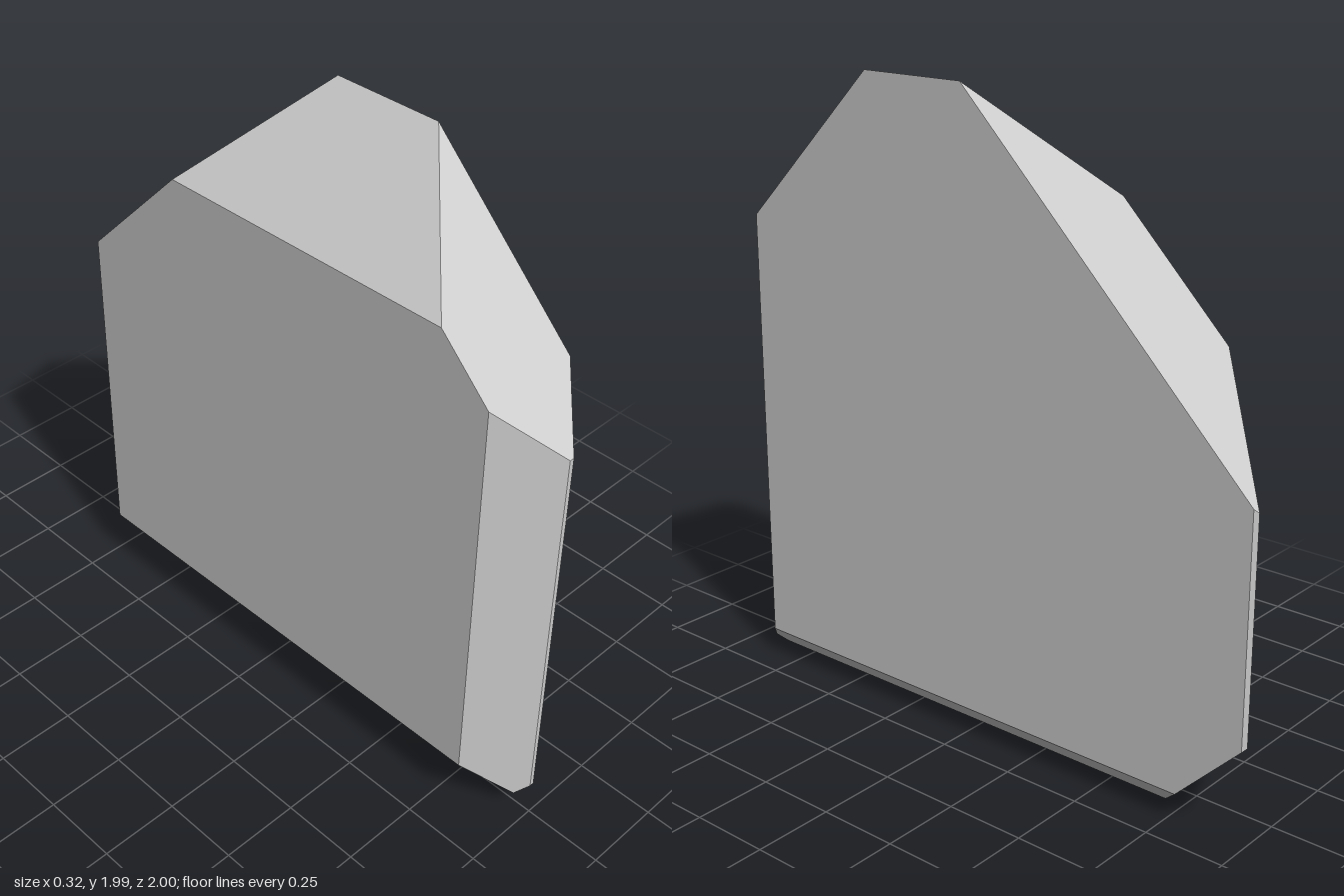
import * as THREE from 'three';
import { ConvexGeometry } from 'three/addons/geometries/ConvexGeometry.js';

// Cutting planes of the slab: a*x + b*y + c*z <= d
const CUTS = [
  [1, 0, 0, 0.161], [-1, 0, 0, 0.161],       // broad sides
  [0, 1, 1, 2.346],                          // front roof slope
  [-1, 1, 0, 1.825],                         // middle roof slope
  [0, 1, -1, 1.986],                         // back roof slope
  [-1, 0, -1, 0.85], [1, 0, -1, 1.15],       // back bevels
  [1, 0, 1, 1.005], [-1, 0, 1, 1.01],        // front bevels
  [0, 0, 1, 1],                              // thin front edge
  [-1, -1, 0, -0.045], [1, -1, 0, 0.07],     // lower side bevels
  [0, -1, 1, 0.88], [0, -1, -1, 0.69],       // lower front and back bevels
  [0, -1, 0, 0],                             // narrow foot
].map(([a, b, c, d]) => ({ n: new THREE.Vector3(a, b, c), d }));

// Corners are the points where three planes meet inside all the others
function corners(planes) {
  const points = [];
  const N = planes.length;
  for (let i = 0; i < N; i++) for (let j = i + 1; j < N; j++) for (let k = j + 1; k < N; k++) {
    const [p, q, r] = [planes[i], planes[j], planes[k]];
    const qr = q.n.clone().cross(r.n);
    const det = p.n.dot(qr);
    if (Math.abs(det) < 1e-6) continue;
    const v = qr.multiplyScalar(p.d)
      .addScaledVector(r.n.clone().cross(p.n), q.d)
      .addScaledVector(p.n.clone().cross(q.n), r.d)
      .divideScalar(det);
    const inside = planes.every((s) => s.n.dot(v) <= s.d + 1e-6);
    if (inside && !points.some((o) => o.distanceTo(v) < 1e-4)) points.push(v);
  }
  return points;
}

export function createModel() {
  const group = new THREE.Group();
  group.name = 'facetedSlab';
  const material = new THREE.MeshStandardMaterial({ color: 0xcccccc, flatShading: true });
  const slab = new THREE.Mesh(new ConvexGeometry(corners(CUTS)), material);
  slab.name = 'slabBody';
  group.add(slab);
  return group;
}
